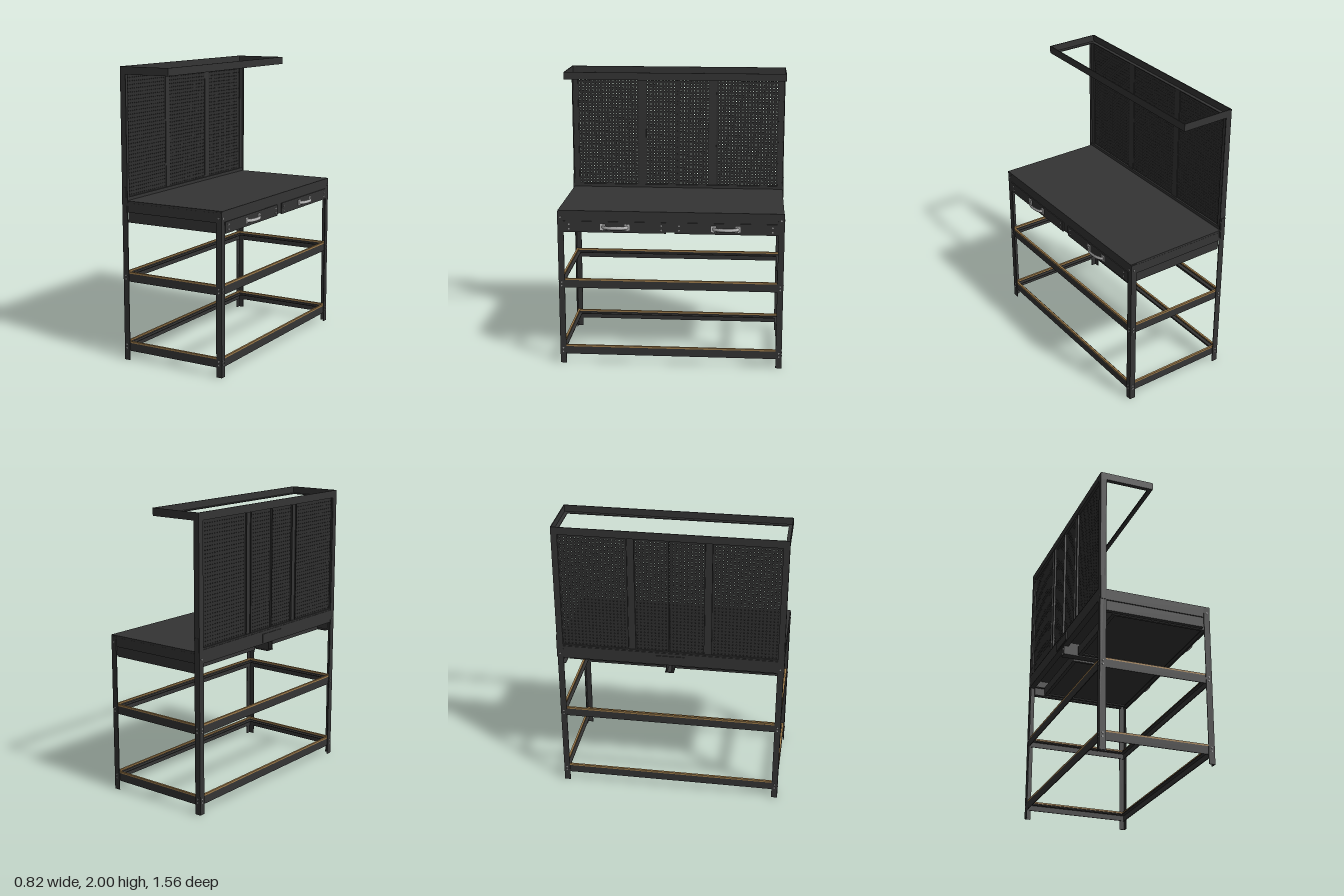
import * as THREE from 'three';

const mat = (name, color) => {
  const m = new THREE.MeshStandardMaterial({ color });
  m.name = name;
  return m;
};

export function createModel() {
  const steel = mat('charcoal steel', 0x343434);
  const peg = mat('pegboard black', 0x2e2e2e);
  const wood = mat('shelf edge tan', 0x9c7a4a);
  const chrome = mat('handle silver', 0xc4c4c4);
  const zinc = mat('bolt grey', 0x9a9a9a);

  const model = new THREE.Group();
  model.name = 'workbench';
  const group = (name, parent = model) => {
    const g = new THREE.Group();
    g.name = name;
    parent.add(g);
    return g;
  };
  // Box given by its limits on each axis
  const box = (parent, name, m, x0, x1, y0, y1, z0, z1) => {
    const mesh = new THREE.Mesh(new THREE.BoxGeometry(Math.abs(x1 - x0), y1 - y0, Math.abs(z1 - z0)), m);
    mesh.position.set((x0 + x1) / 2, (y0 + y1) / 2, (z0 + z1) / 2);
    mesh.name = name;
    parent.add(mesh);
  };
  const boltGeo = new THREE.CylinderGeometry(0.006, 0.006, 0.006, 8);
  const bolt = (parent, x, y, z, axis, m = zinc) => {
    const b = new THREE.Mesh(boltGeo, m);
    b.name = 'bolt';
    b.position.set(x, y, z);
    if (axis === 'x') b.rotation.z = Math.PI / 2;
    else b.rotation.x = Math.PI / 2;
    parent.add(b);
  };

  const XB = -0.405, XF = 0.37, Z = 0.775, T = 0.006, W = 0.042;

  // Angle-iron legs; the back pair continues as tall uprights
  for (const s of [-1, 1]) {
    for (const [name, x, d, top] of [['backUpright', XB, 1, 2], ['frontLeg', XF, -1, 1.1]]) {
      const leg = group(name);
      box(leg, 'sideFlange', steel, x, x + d * W, 0, top, s * Z, s * (Z - T));
      box(leg, 'faceFlange', steel, x, x + d * T, 0, top, s * Z, s * (Z - W));
      for (const y of [0.085, 0.11, 0.57, 0.595, 1.06]) {
        bolt(leg, x + d * 0.021, y, s * Z, 'z');
        bolt(leg, x, y, s * (Z - 0.021), 'x');
      }
    }
    box(model, 'splicePlate', steel, XB + 0.002, XB + 0.036, 1.03, 1.2, s * Z, s * (Z + 0.004));
  }

  // Rectangular ring of angle beams: outer web plus an inward lip
  const ring = (name, x0, x1, z, y0, y1, lipY, lip) => {
    const g = group(name);
    for (const s of [-1, 1]) {
      box(g, 'sideWeb', steel, x0, x1, y0, y1, s * z, s * (z - T));
      box(g, 'sideLip', steel, x0, x1, lipY, lipY + T, s * (z - T), s * (z - lip));
    }
    for (const [x, d] of [[x0, 1], [x1, -1]]) {
      box(g, 'longWeb', steel, x, x + d * T, y0, y1, -z, z);
      box(g, 'longLip', steel, x + d * T, x + d * lip, lipY, lipY + T, -z, z);
    }
    return g;
  };

  // Open shelf frames with a tan edge
  for (const y of [0.065, 0.553]) {
    const shelf = ring('shelfFrame', XB + 0.007, XF - 0.007, Z - 0.007, y, y + 0.055, y + 0.038, 0.032);
    const y0 = y + 0.055, y1 = y + 0.067, e = 0.014;
    for (const s of [-1, 1])
      box(shelf, 'sideEdge', wood, XB + 0.007, XF - 0.007, y0, y1, s * (Z - 0.007), s * (Z - 0.007 - e));
    for (const [x, d] of [[XB + 0.007, 1], [XF - 0.007, -1]])
      box(shelf, 'longEdge', wood, x, x + d * e, y0, y1, -Z + 0.007 + e, Z - 0.007 - e);
  }

  // Worktop and the frame that carries it
  box(model, 'worktop', steel, XB + 0.03, XF + 0.003, 1.094, 1.108, -Z + 0.004, Z - 0.004);
  ring('worktopFrame', XB + 0.007, XF - 0.001, Z - 0.003, 1.03, 1.094, 1.03, 0.035);
  const apron = group('drawerRails');
  for (const s of [-1, 1]) {
    box(apron, 'sideRail', steel, XB + 0.04, XF - 0.04, 0.96, 1.03, s * (Z - 0.012), s * (Z - 0.02));
    box(apron, 'railFoot', steel, XB + 0.04, XF - 0.04, 0.96, 0.966, s * (Z - 0.02), s * (Z - 0.045));
    box(apron, 'centreRail', steel, XB + 0.01, XF - 0.008, 0.965, 1.06, s * 0.016, s * 0.024);
  }
  box(apron, 'centreFoot', steel, XB + 0.01, XF - 0.008, 0.965, 0.971, -0.03, 0.03);
  box(apron, 'centreFront', steel, XF - 0.01, XF - 0.003, 0.965, 1.03, -0.03, 0.03);

  // Two drawers with arched handles
  for (const s of [-1, 1]) {
    const drawer = group('drawer');
    const xb = -0.3;
    box(drawer, 'drawerFront', steel, XF - 0.006, XF + 0.004, 0.957, 1.034, s * 0.03, s * 0.735);
    box(drawer, 'drawerBottom', steel, xb, XF - 0.006, 0.978, 0.984, s * 0.05, s * 0.72);
    box(drawer, 'drawerBack', steel, xb, xb + T, 0.962, 1.028, s * 0.05, s * 0.72);
    box(drawer, 'backRim', steel, xb, xb + 0.025, 0.962, 0.967, s * 0.05, s * 0.72);
    box(drawer, 'frontRim', steel, XF - 0.03, XF - 0.006, 0.962, 0.967, s * 0.05, s * 0.72);
    for (const [z, d] of [[0.05, 1], [0.72, -1]]) {
      box(drawer, 'drawerSide', steel, xb, XF - 0.006, 0.962, 1.028, s * z, s * (z + d * T));
      box(drawer, 'sideRim', steel, xb, XF - 0.006, 0.962, 0.967, s * z, s * (z + d * 0.022));
    }
    for (const z of [0.06, 0.695]) for (const y of [0.98, 1.012]) bolt(drawer, XF + 0.004, y, s * z, 'x');

    const handle = group('handle', drawer);
    const zc = s * 0.378, x = XF + 0.006;
    const arc = new THREE.CatmullRomCurve3([
      [x, -0.088], [x + 0.012, -0.076], [x + 0.027, -0.045], [x + 0.031, 0],
      [x + 0.027, 0.045], [x + 0.012, 0.076], [x, 0.088],
    ].map(([px, pz]) => new THREE.Vector3(px, 0, pz)));
    const geo = new THREE.TubeGeometry(arc, 28, 0.004, 8);
    geo.scale(1, 3.2, 1);
    const grip = new THREE.Mesh(geo, chrome);
    grip.name = 'grip';
    grip.position.set(0, 0.996, zc);
    handle.add(grip);
    for (const e of [-1, 1]) {
      box(handle, 'handlePlate', chrome, XF + 0.004, XF + 0.009, 0.976, 1.017, zc + e * 0.066, zc + e * 0.1);
      for (const y of [0.981, 1.012]) bolt(handle, XF + 0.009, y, zc + e * 0.085, 'x', chrome);
    }
  }

  // Perforated panels between posts
  const board = (z0, z1) => {
    const y0 = 1.12, y1 = 1.945, pitch = 0.0245, r = 0.0038;
    const shape = new THREE.Shape([[z0, y0], [z1, y0], [z1, y1], [z0, y1]].map(p => new THREE.Vector2(...p)));
    const cols = Math.floor((z1 - z0 - 0.02) / pitch), rows = Math.floor((y1 - y0 - 0.04) / pitch);
    const zs = (z0 + z1 - cols * pitch) / 2, ys = (y0 + y1 - rows * pitch) / 2;
    for (let i = 0; i <= cols; i++) for (let j = 0; j <= rows; j++) {
      const pts = [];
      for (let k = 0; k < 6; k++) {
        const a = -k * Math.PI / 3;
        pts.push(new THREE.Vector2(zs + i * pitch + r * Math.cos(a), ys + j * pitch + r * Math.sin(a)));
      }
      shape.holes.push(new THREE.Path(pts));
    }
    const mesh = new THREE.Mesh(new THREE.ExtrudeGeometry(shape, { depth: 0.006, bevelEnabled: false }), peg);
    mesh.name = 'pegPanel';
    mesh.rotation.y = -Math.PI / 2;
    mesh.position.x = -0.382;
    return mesh;
  };
  const back = group('pegboard');
  for (const [a, b] of [[-0.74, -0.28], [-0.23, 0.235], [0.285, 0.74]]) back.add(board(a, b));
  for (const z of [-0.255, 0.26]) {
    box(back, 'post', steel, -0.392, -0.378, 1.1, 1.95, z - 0.026, z + 0.026);
    for (const e of [-1, 1])
      box(back, 'postFlange', steel, -0.4, -0.378, 1.1, 1.95, z + e * 0.026, z + e * 0.022);
  }
  box(back, 'seamFlange', steel, -0.402, -0.388, 1.12, 1.95, -0.003, 0.003);
  for (const s of [-1, 1]) box(back, 'sideStrip', steel, -0.395, -0.375, 1.1, 1.95, s * 0.733, s * 0.769);
  box(back, 'bottomRail', steel, -0.4, -0.37, 1.09, 1.13, -0.769, 0.769);
  box(back, 'rearSkirt', steel, XB + 0.001, XB + 0.007, 1.03, 1.12, -0.735, 0.735);
  box(back, 'rearSplice', steel, XB - 0.004, XB + 0.001, 1.04, 1.1, -0.105, 0.105);

  // Overhead frame reaching forward from the uprights
  ring('overheadFrame', XB, -0.025, Z, 1.948, 2, 1.948, 0.03);
  return model;
}
